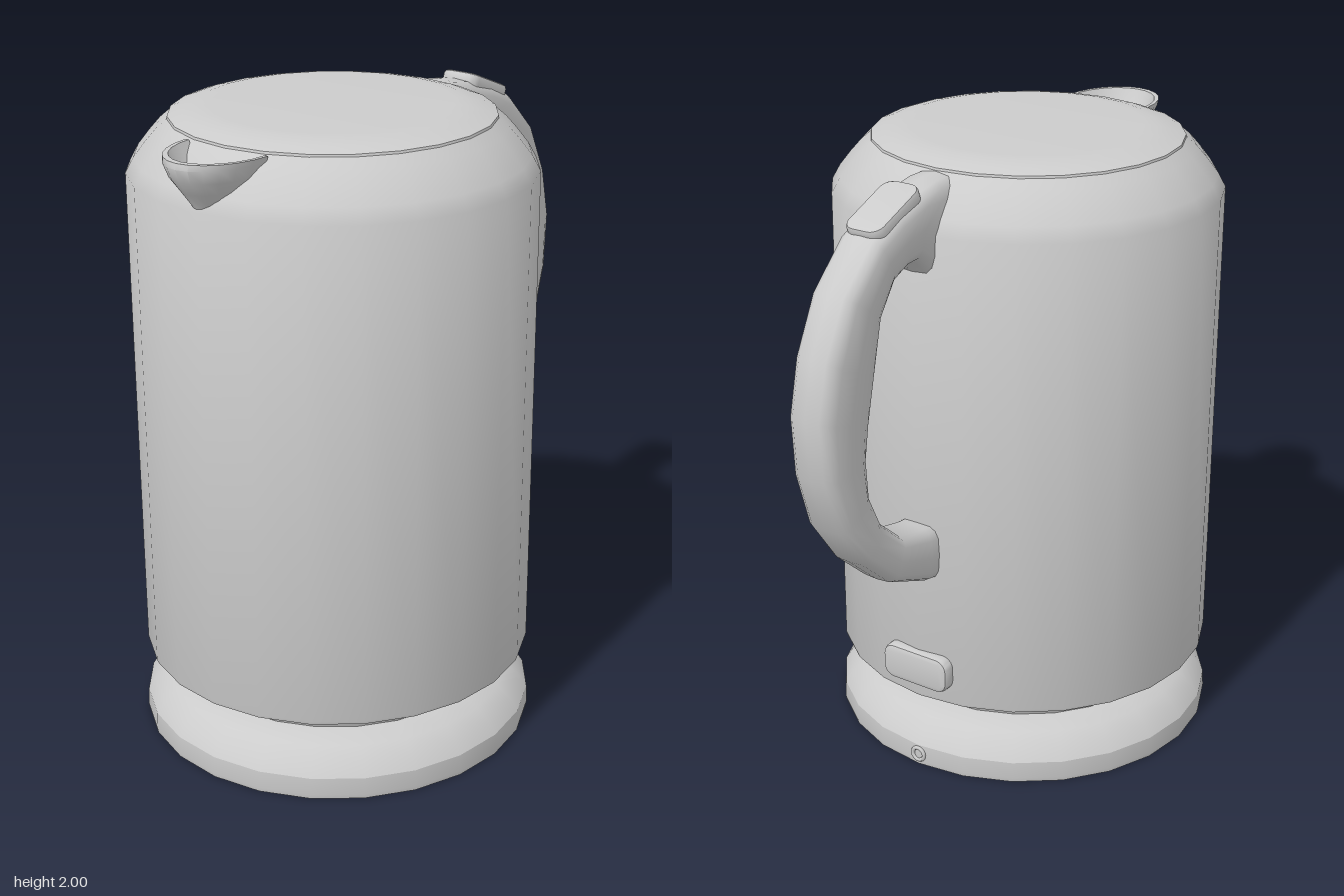
import * as THREE from 'three';
import { toCreasedNormals } from 'three/addons/utils/BufferGeometryUtils.js';

const AXIS_X = -0.22; // the round parts share this vertical axis

export function createModel() {
  const model = new THREE.Group();
  const grey = new THREE.MeshStandardMaterial({ color: 0xcccccc });
  const greyThin = new THREE.MeshStandardMaterial({ color: 0xcccccc, side: THREE.DoubleSide });

  const add = (name, geometry, material = grey) => {
    const mesh = new THREE.Mesh(geometry, material);
    mesh.name = name;
    model.add(mesh);
    return mesh;
  };

  // Round part turned from [radius, height] pairs, bottom to top
  const turned = (name, profile, crease = 0.5) => {
    const points = profile.map(([r, y]) => new THREE.Vector2(r, y));
    const mesh = add(name, toCreasedNormals(new THREE.LatheGeometry(points, 24), crease));
    mesh.position.x = AXIS_X;
    return mesh;
  };

  // Skin over rows of points that all have the same length
  const loft = (rows, crease) => {
    const n = rows[0].length;
    const index = [];
    for (let i = 0; i < rows.length - 1; i++) {
      for (let j = 0; j < n - 1; j++) {
        const a = i * n + j, b = a + 1, c = a + n, d = c + 1;
        index.push(a, b, c, b, d, c);
      }
    }
    const geometry = new THREE.BufferGeometry();
    geometry.setAttribute('position', new THREE.Float32BufferAttribute(rows.flat(2), 3));
    geometry.setIndex(index);
    return toCreasedNormals(geometry, crease);
  };

  // Rounded pad with a bevelled face, growing along +z
  const pad = (w, h, depth, radius, bevel) => {
    const x = w / 2 - bevel, y = h / 2 - bevel, r = radius - bevel;
    const shape = new THREE.Shape();
    shape.absarc(x - r, y - r, r, 0, Math.PI / 2);
    shape.absarc(-x + r, y - r, r, Math.PI / 2, Math.PI);
    shape.absarc(-x + r, -y + r, r, Math.PI, Math.PI * 1.5);
    shape.absarc(x - r, -y + r, r, Math.PI * 1.5, Math.PI * 2);
    const geometry = new THREE.ExtrudeGeometry(shape, {
      depth: depth - bevel, bevelSize: bevel, bevelThickness: bevel, bevelSegments: 2, curveSegments: 4,
    });
    return toCreasedNormals(geometry, 0.7);
  };

  // Power base, body and lid
  turned('powerBase', [[0, 0], [0.622, 0], [0.625, 0.015], [0.622, 0.07], [0.6, 0.105],
    [0.555, 0.145], [0.5, 0.168], [0.46, 0.172], [0, 0.172]]);
  turned('body', [[0, 0.165], [0.485, 0.165], [0.495, 0.19], [0.612, 0.255], [0.615, 0.265],
    [0.615, 1.81], [0.59, 1.855], [0.555, 1.9], [0.52, 1.94], [0.487, 1.968], [0, 1.968]], 0.6);
  turned('lid', [[0.489, 1.965], [0.487, 1.974], [0.45, 1.987], [0.4, 1.998], [0.36, 2], [0, 2]]);

  // Open spout: half rings of [height, reach, half width] up the outside, then down the inside
  const spoutRings = [
    [1.79, 0.115, 0.03], [1.83, 0.135, 0.07], [1.87, 0.165, 0.1], [1.91, 0.195, 0.127],
    [1.95, 0.21, 0.145], [1.967, 0.205, 0.15], [1.967, 0.185, 0.138], [1.93, 0.165, 0.12],
    [1.88, 0.13, 0.085], [1.84, 0.09, 0.05],
  ];
  add('spout', loft(spoutRings.map(([y, reach, width]) =>
    Array.from({ length: 13 }, (_, j) => {
      const a = -Math.PI / 2 + (Math.PI * j) / 12;
      return [-0.7 - reach * Math.cos(a), y, width * Math.sin(a)];
    })), 0.7), greyThin);

  // Handle: stations of [outer x, outer y, inner x, inner y], both ends sunk in the body
  const stations = [
    [0.24, 1.965, 0.3, 1.64], [0.33, 1.965, 0.385, 1.685], [0.41, 1.95, 0.45, 1.745],
    [0.53, 1.915, 0.5, 1.745], [0.64, 1.865, 0.56, 1.72], [0.78, 1.735, 0.62, 1.63],
    [0.868, 1.57, 0.655, 1.46], [0.907, 1.4, 0.685, 1.33], [0.893, 1.21, 0.705, 1.23],
    [0.835, 1.03, 0.7, 1.11], [0.73, 0.885, 0.65, 1.0], [0.6, 0.77, 0.54, 0.905],
    [0.42, 0.695, 0.42, 0.88], [0.32, 0.675, 0.32, 0.87],
  ];
  const soft = (v) => Math.sign(v) * Math.pow(Math.abs(v), 0.55);
  add('handle', loft(stations.map(([ox, oy, ix, iy]) =>
    Array.from({ length: 17 }, (_, j) => {
      const a = (Math.PI * 2 * (j % 16)) / 16;
      const u = soft(Math.cos(a)) / 2, z = 0.08 * soft(Math.sin(a));
      return [(ox + ix) / 2 + (ox - ix) * u, (oy + iy) / 2 + (oy - iy) * u, z];
    })), 0.95));

  // Lid release button on the sloping top of the handle
  const button = add('releaseButton', pad(0.235, 0.13, 0.04, 0.04, 0.012).rotateX(-Math.PI / 2));
  button.position.set(0.517, 1.893, 0);
  button.rotation.z = -0.38;

  // Switch low on the handle side of the body
  const powerSwitch = add('powerSwitch', pad(0.245, 0.12, 0.05, 0.04, 0.014).rotateY(Math.PI / 2));
  powerSwitch.position.set(0.37, 0.365, 0);

  // Cord outlet on the base
  const outlet = add('cordOutlet', new THREE.TorusGeometry(0.022, 0.007, 6, 14).rotateY(Math.PI / 2));
  outlet.position.set(0.403, 0.038, 0);

  return model;
}
